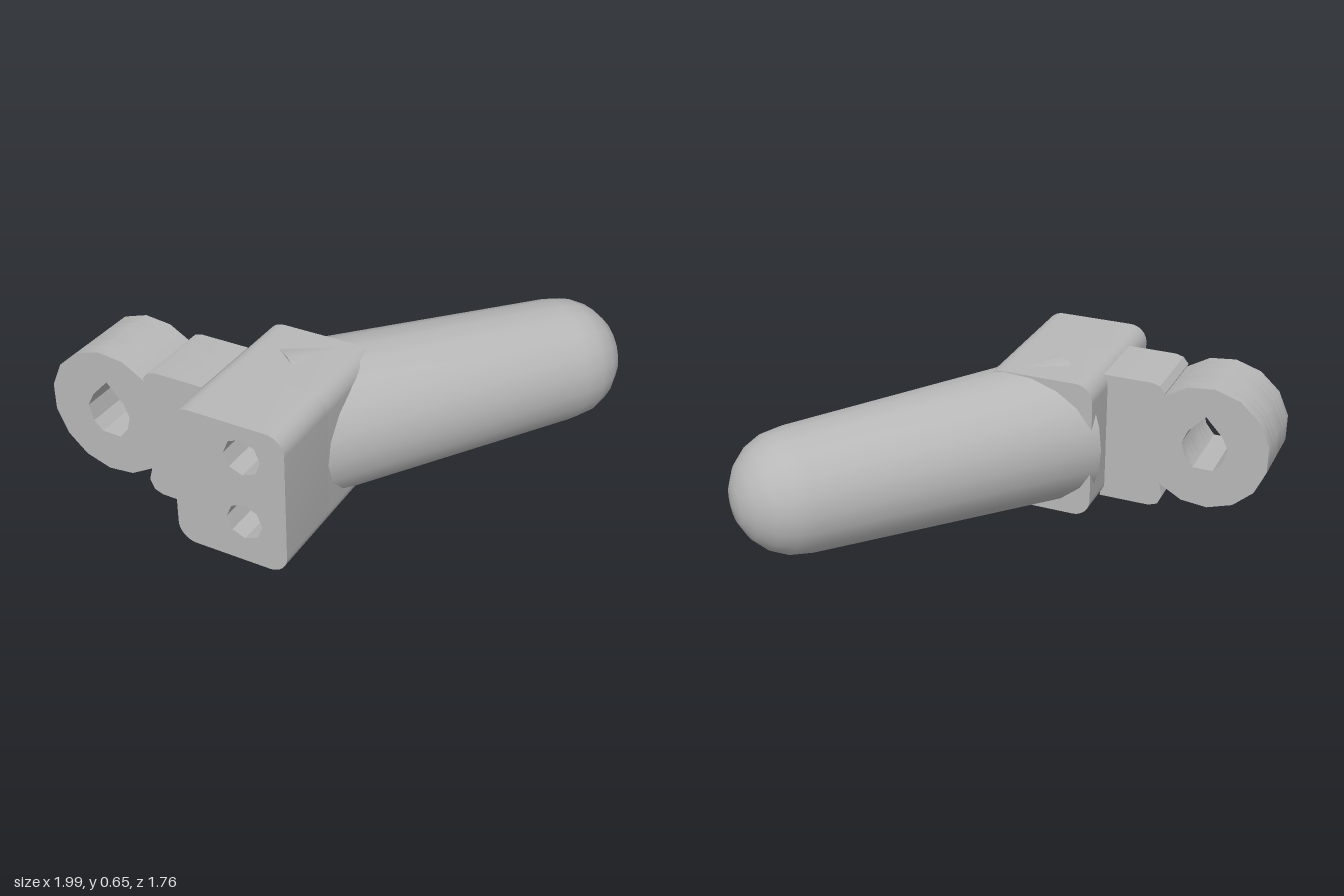
import * as THREE from 'three';
import { toCreasedNormals } from 'three/addons/utils/BufferGeometryUtils.js';

const V = (x, y) => new THREE.Vector2(x, y);

// Regular polygon as a list of points, counter-clockwise from angle a (degrees)
function ngon(cx, cy, r, n, a = 0) {
  return Array.from({ length: n }, (_, i) => {
    const t = (a + (i * 360) / n) * Math.PI / 180;
    return V(cx + r * Math.cos(t), cy + r * Math.sin(t));
  });
}

// Extrude an outline between two z positions
function slab(shape, z0, z1) {
  const g = new THREE.ExtrudeGeometry(shape, { depth: z1 - z0, bevelEnabled: false, curveSegments: 5 });
  g.translate(0, 0, z0);
  return toCreasedNormals(g, 0.5);
}

function roundedRect(x0, y0, x1, y1, r) {
  const s = new THREE.Shape();
  s.moveTo(x0 + r, y0);
  s.absarc(x1 - r, y0 + r, r, -Math.PI / 2, 0);
  s.absarc(x1 - r, y1 - r, r, 0, Math.PI / 2);
  s.absarc(x0 + r, y1 - r, r, Math.PI / 2, Math.PI);
  s.absarc(x0 + r, y0 + r, r, Math.PI, Math.PI * 1.5);
  return s;
}

// Eyelet and mounting plate outline; w > 0 cuts a pocket of that half-width from below
function lugShape(w) {
  const ring = ngon(-0.715, 0.35, 0.285, 15, 48).slice(0, 12);
  let bottom = [V(-0.54, 0.08), V(-0.52, 0.035), V(-0.48, 0.02)];
  if (w > 0) {
    const last = ring.pop(), prev = ring[ring.length - 1];
    const xl = -0.5 - w, xr = -0.5 + w;
    const t = (xl - prev.x) / (last.x - prev.x);
    bottom = [V(xl, prev.y + t * (last.y - prev.y)), V(xl, 0.22), V(xr, 0.22), V(xr, 0.02)];
  }
  const s = new THREE.Shape([
    ...ring, ...bottom,
    V(-0.25, 0.02), V(-0.25, 0.615), V(-0.47, 0.615), V(-0.505, 0.605), V(-0.53, 0.575),
  ]);
  // Teardrop pin hole
  s.holes.push(new THREE.Path([
    V(-0.715, 0.5), V(-0.64, 0.42), V(-0.615, 0.36), V(-0.63, 0.3), V(-0.67, 0.25),
    V(-0.76, 0.25), V(-0.8, 0.29), V(-0.82, 0.36), V(-0.79, 0.42),
  ]));
  return s;
}

export function createModel() {
  const model = new THREE.Group();
  model.name = 'leverHandle';
  const grey = new THREE.MeshStandardMaterial({ color: 0xb8b8b8 });
  grey.name = 'plain grey';

  const add = (name, geometry, parent = model) => {
    const mesh = new THREE.Mesh(geometry, grey);
    mesh.name = name;
    parent.add(mesh);
    return mesh;
  };

  // Clamp block: drilled front section, solid rear section
  const block = new THREE.Group();
  block.name = 'clampBlock';
  model.add(block);
  const drilled = roundedRect(-0.27, 0.01, 0.225, 0.64, 0.08);
  for (const y of [0.5, 0.2]) drilled.holes.push(new THREE.Path(ngon(0.04, y, 0.08, 8)));
  add('drilledFront', slab(drilled, 0.55, 0.88), block);
  add('solidRear', slab(roundedRect(-0.27, 0.01, 0.225, 0.64, 0.08), 0.16, 0.55), block);

  // Eyelet lug in slices, the middle ones carrying the round pocket underneath
  const lug = new THREE.Group();
  lug.name = 'eyeletLug';
  model.add(lug);
  const slices = [
    [0.35, 0.42, 0], [0.42, 0.46, 0.06], [0.46, 0.58, 0.09], [0.58, 0.62, 0.06], [0.62, 0.69, 0],
  ];
  for (const [z0, z1, w] of slices) add('lugSlice', slab(lugShape(w), z0, z1), lug);

  // Tapered grip with a domed end
  const base = new THREE.Vector3(-0.055, 0.325, 0.38);
  const tip = new THREE.Vector3(0.73, 0.325, -0.61);
  const length = base.distanceTo(tip);
  const profile = [V(0, 0), V(0.325, 0)];
  for (let i = 0; i <= 5; i++) {
    const t = (i / 5) * Math.PI / 2;
    profile.push(V(i === 5 ? 0 : 0.27 * Math.cos(t), length + 0.27 * Math.sin(t)));
  }
  const grip = add('grip', toCreasedNormals(new THREE.LatheGeometry(profile, 20), 0.6));
  grip.position.copy(base);
  grip.quaternion.setFromUnitVectors(new THREE.Vector3(0, 1, 0), tip.clone().sub(base).normalize());

  return model;
}
